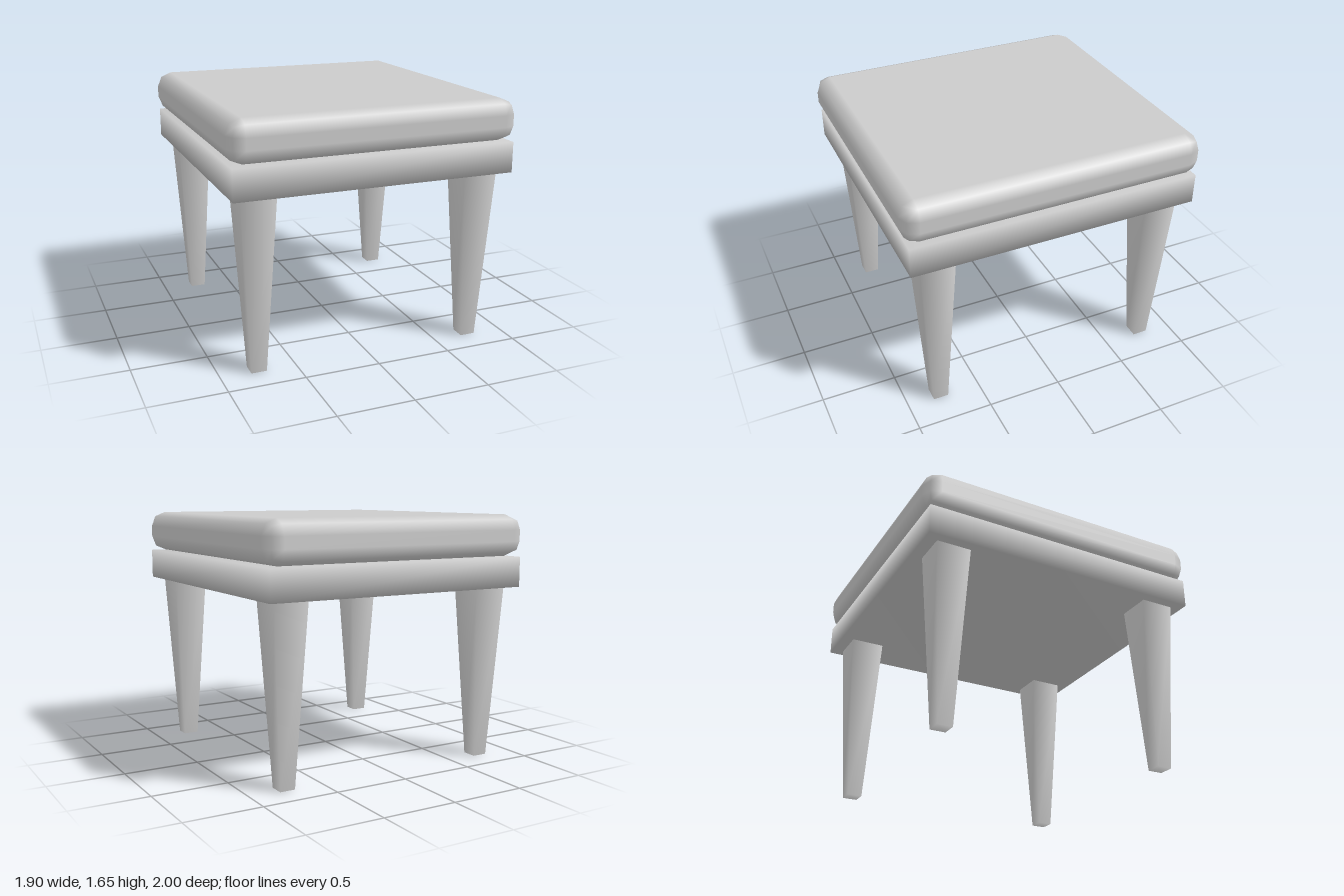
import * as THREE from 'three';
import { mergeVertices } from 'three/addons/utils/BufferGeometryUtils.js';
import { RoundedBoxGeometry } from 'three/addons/geometries/RoundedBoxGeometry.js';

const material = new THREE.MeshStandardMaterial({ color: 0xcccccc });

// Box standing on y = 0, its base scaled by `taper`, with normals shared across the edges
function softBox(width, height, depth, taper = 1) {
  const box = new THREE.BoxGeometry(width, height, depth).translate(0, height / 2, 0);
  const pos = box.attributes.position;
  for (let i = 0; i < pos.count; i++) {
    if (pos.getY(i) < height / 2) {
      pos.setX(i, pos.getX(i) * taper);
      pos.setZ(i, pos.getZ(i) * taper);
    }
  }
  box.deleteAttribute('normal');
  box.deleteAttribute('uv');
  const merged = mergeVertices(box);
  merged.computeVertexNormals();
  return merged;
}

export function createModel() {
  const stool = new THREE.Group();
  stool.name = 'stool';

  const add = (name, geometry, x, y, z) => {
    const mesh = new THREE.Mesh(geometry, material);
    mesh.name = name;
    mesh.position.set(x, y, z);
    stool.add(mesh);
  };

  // Padded seat with rounded edges
  add('cushion', new RoundedBoxGeometry(1.9, 0.275, 2, 1, 0.1), 0, 1.5125, 0);

  // Seat frame under the cushion
  add('seatFrame', softBox(1.86, 0.2, 1.94), 0, 1.17, 0);

  // Four square legs tapering to the floor
  const leg = softBox(0.23, 1.17, 0.23, 0.44);
  for (const [side, x] of [['Left', 0.75], ['Right', -0.75]]) {
    add('front' + side + 'Leg', leg, x, 0, 0.775);
    add('back' + side + 'Leg', leg, x, 0, -0.775);
  }

  return stool;
}
